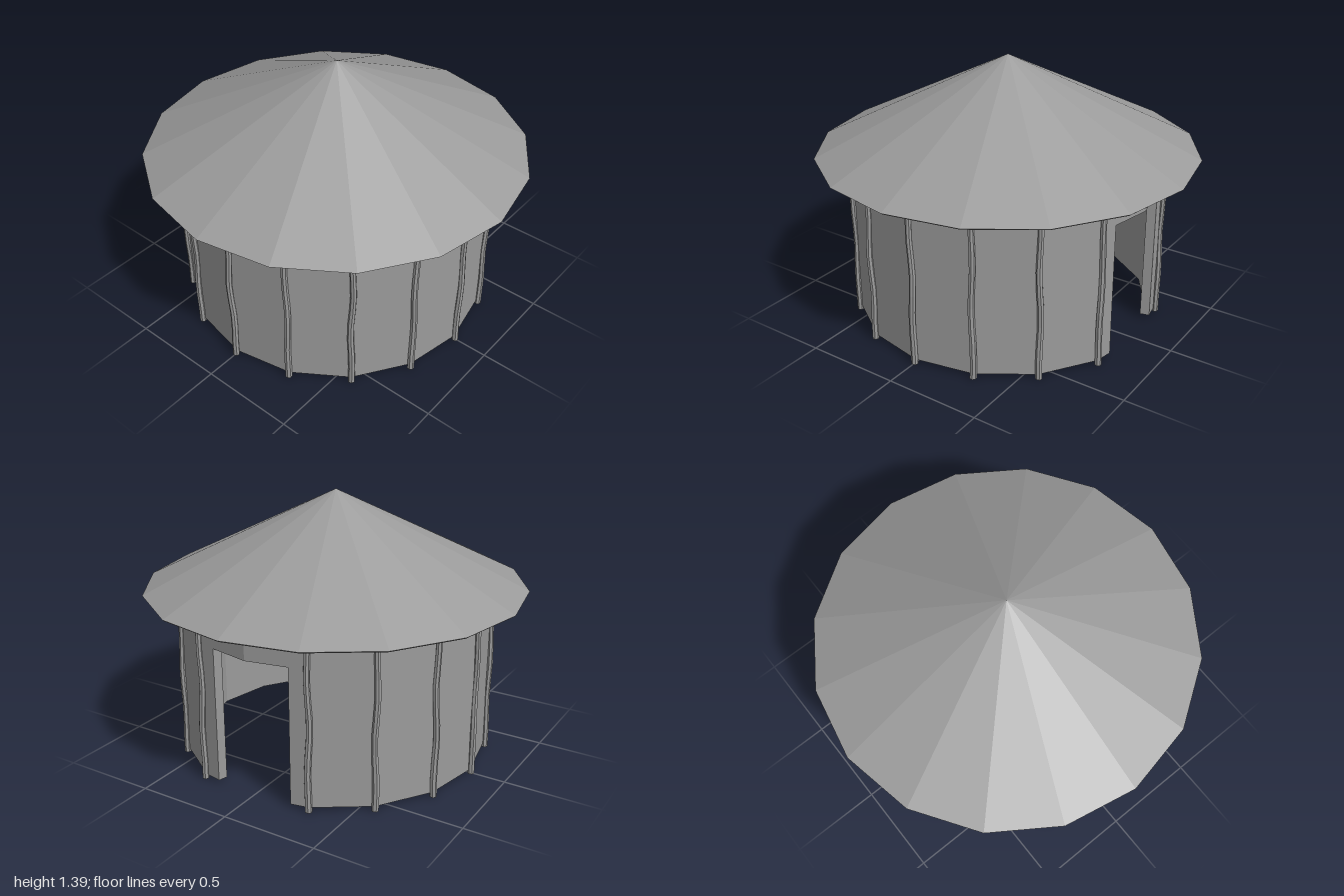
import * as THREE from 'three';

const SIDES = 16;
const material = new THREE.MeshStandardMaterial({
  color: 0x9b9b9b, flatShading: true, side: THREE.DoubleSide,
});

// Unit direction of a polygon corner
const corner = (i) => {
  const a = (i / SIDES) * Math.PI * 2;
  return [Math.cos(a), Math.sin(a)];
};

// Sweeps a closed [radius, y] profile through a list of [x, z] stations and caps both ends;
// the profile edge with index openEdge is left out
function sweep(profile, stations, openEdge = -1) {
  const pos = [];
  const n = profile.length;
  const at = (s, i) => {
    const [r, y] = profile[i % n];
    return [stations[s][0] * r, y, stations[s][1] * r];
  };
  const tri = (a, b, c) => pos.push(...a, ...b, ...c);
  const last = stations.length - 1;
  for (let s = 0; s < last; s++) {
    for (let i = 0; i < n; i++) {
      if (i === openEdge) continue;
      tri(at(s, i), at(s, i + 1), at(s + 1, i));
      tri(at(s + 1, i), at(s, i + 1), at(s + 1, i + 1));
    }
  }
  for (let i = 1; i < n - 1; i++) {
    tri(at(last, 0), at(last, i), at(last, i + 1));
    tri(at(0, 0), at(0, i + 1), at(0, i));
  }
  const g = new THREE.BufferGeometry();
  g.setAttribute('position', new THREE.Float32BufferAttribute(pos, 3));
  g.computeVertexNormals();
  return g;
}

// Slightly crooked log with its foot on the ground
function logGeometry(seed) {
  const height = 0.875;
  const g = new THREE.CylinderGeometry(0.015, 0.018, height, 7, 9);
  g.translate(0, height / 2, 0);
  const p = g.attributes.position;
  for (let i = 0; i < p.count; i++) {
    const y = p.getY(i);
    const bend = Math.sin((y / height) * Math.PI);
    p.setX(i, p.getX(i) + 0.007 * bend * Math.sin(y * 11 + seed * 2.3));
    p.setZ(i, p.getZ(i) + 0.004 * bend * Math.sin(y * 13 + seed * 4.1));
  }
  g.computeVertexNormals();
  return g;
}

export function createModel() {
  const model = new THREE.Group();
  model.name = 'roundHut';
  const add = (name, geometry, parent = model) => {
    const mesh = new THREE.Mesh(geometry, material);
    mesh.name = name;
    parent.add(mesh);
    return mesh;
  };

  // Wall section, flaring outward just below the eaves
  const wallProfile = (bottom) => [
    [0.76, 0.85], [0.76, bottom], [0.81, bottom], [0.81, 0.85], [0.835, 0.89], [0.785, 0.89],
  ];

  // Door edges lie on the two wall panels that meet at +x
  const k = 0.7;
  const [cx, cz] = corner(1);
  const doorEdge = (side) => [1 + (cx - 1) * k, cz * k * side];

  // Wall running all the way round between the door edges, hollow at its foot
  const stations = [doorEdge(1)];
  for (let i = 1; i < SIDES; i++) stations.push(corner(i));
  stations.push(doorEdge(-1));
  add('wall', sweep(wallProfile(0.018), stations, 1));

  // Wall piece above the doorway
  add('doorLintel', sweep(wallProfile(0.73), [doorEdge(-1), [1, 0], doorEdge(1)]));

  // Hollow conical roof with an overhanging eave and an undercut rim
  const roofProfile = [
    [0, 1.33], [0.785, 0.885], [0.99, 0.885], [1, 0.893], [0, 1.39],
  ].map(([r, y]) => new THREE.Vector2(r, y));
  const roof = new THREE.LatheGeometry(roofProfile, SIDES).toNonIndexed();
  roof.computeVertexNormals();
  add('roof', roof);

  // A crooked post at every wall corner except in the doorway
  const posts = new THREE.Group();
  posts.name = 'posts';
  model.add(posts);
  for (let i = 1; i < SIDES; i++) {
    const [x, z] = corner(i);
    const post = add('post', logGeometry(i), posts);
    post.position.set(x * 0.816, 0, z * 0.816);
    post.rotation.y = Math.atan2(x, z);
  }

  return model;
}
